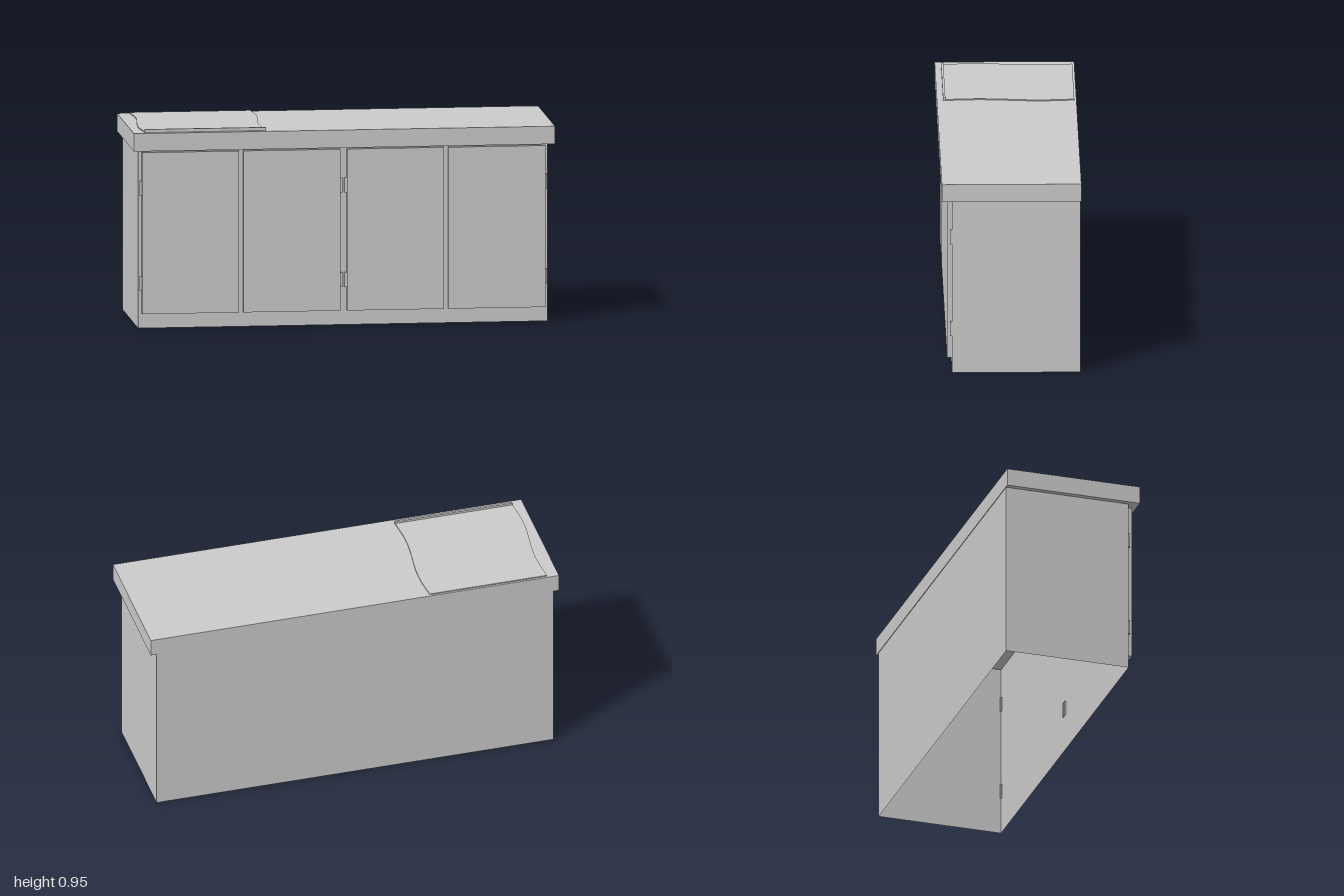
import * as THREE from 'three';

const grey = new THREE.MeshStandardMaterial({ color: 0xcccccc });
const thin = new THREE.MeshStandardMaterial({ color: 0xcccccc, side: THREE.DoubleSide });

// Box given by its min and max extents on each axis
function box(name, [x0, x1], [y0, y1], [z0, z1]) {
  const mesh = new THREE.Mesh(new THREE.BoxGeometry(x1 - x0, y1 - y0, z1 - z0), grey);
  mesh.position.set((x0 + x1) / 2, (y0 + y1) / 2, (z0 + z1) / 2);
  mesh.name = name;
  return mesh;
}

// Thin-walled carcass, open at the floor
function carcass() {
  const r = Math.SQRT1_2;
  let geo = new THREE.CylinderGeometry(r, r, 1, 4, 1, true, Math.PI / 4);
  geo.scale(1.945, 0.85, 0.607);
  geo = geo.toNonIndexed();
  geo.computeVertexNormals();
  const mesh = new THREE.Mesh(geo, thin);
  mesh.position.set(-0.002, 0.425, -0.0215);
  mesh.name = 'carcass';
  return mesh;
}

// Thin cover sheet with gently waved side edges
function coverSheet() {
  const n = 20, left = [], right = [];
  for (let i = 0; i <= n; i++) {
    const t = i / n;
    const z = 0.295 - 0.613 * t;
    const wave = -0.012 * Math.sin(t * Math.PI * 2);
    left.push(new THREE.Vector2(-0.945 + wave, -z));
    right.push(new THREE.Vector2(-0.37 + wave, -z));
  }
  const shape = new THREE.Shape([...right, ...left.reverse()]);
  const geo = new THREE.ExtrudeGeometry(shape, { depth: 0.005, bevelEnabled: false });
  geo.rotateX(-Math.PI / 2);
  const mesh = new THREE.Mesh(geo, grey);
  mesh.position.y = 0.935;
  mesh.name = 'coverSheet';
  return mesh;
}

export function createModel() {
  const model = new THREE.Group();
  model.name = 'cabinet';

  model.add(carcass());
  model.add(box('countertop', [-1, 1], [0.85, 0.935], [-0.328, 0.33]));

  // Four doors, mirrored in pairs, with hinges on their outer and centre edges
  for (const s of [-1, 1]) {
    const span = (a, b) => (s > 0 ? [a, b] : [-b, -a]);
    for (const [a, b] of [[0.016, 0.476], [0.497, 0.957]]) {
      model.add(box('door', span(a, b), [0.07, 0.84], [0.2825, 0.305]));
    }
    for (const [a, b] of [[0.004, 0.018], [0.955, 0.968]]) {
      for (const y of [0.18, 0.632]) {
        model.add(box('hinge', span(a, b), [y, y + 0.07], [0.276, 0.292]));
      }
    }
  }

  // Sheet lying on the worktop with a raised front lip
  model.add(coverSheet());
  model.add(box('sheetLip', [-0.945, -0.37], [0.935, 0.95], [0.29, 0.301]));
  return model;
}
